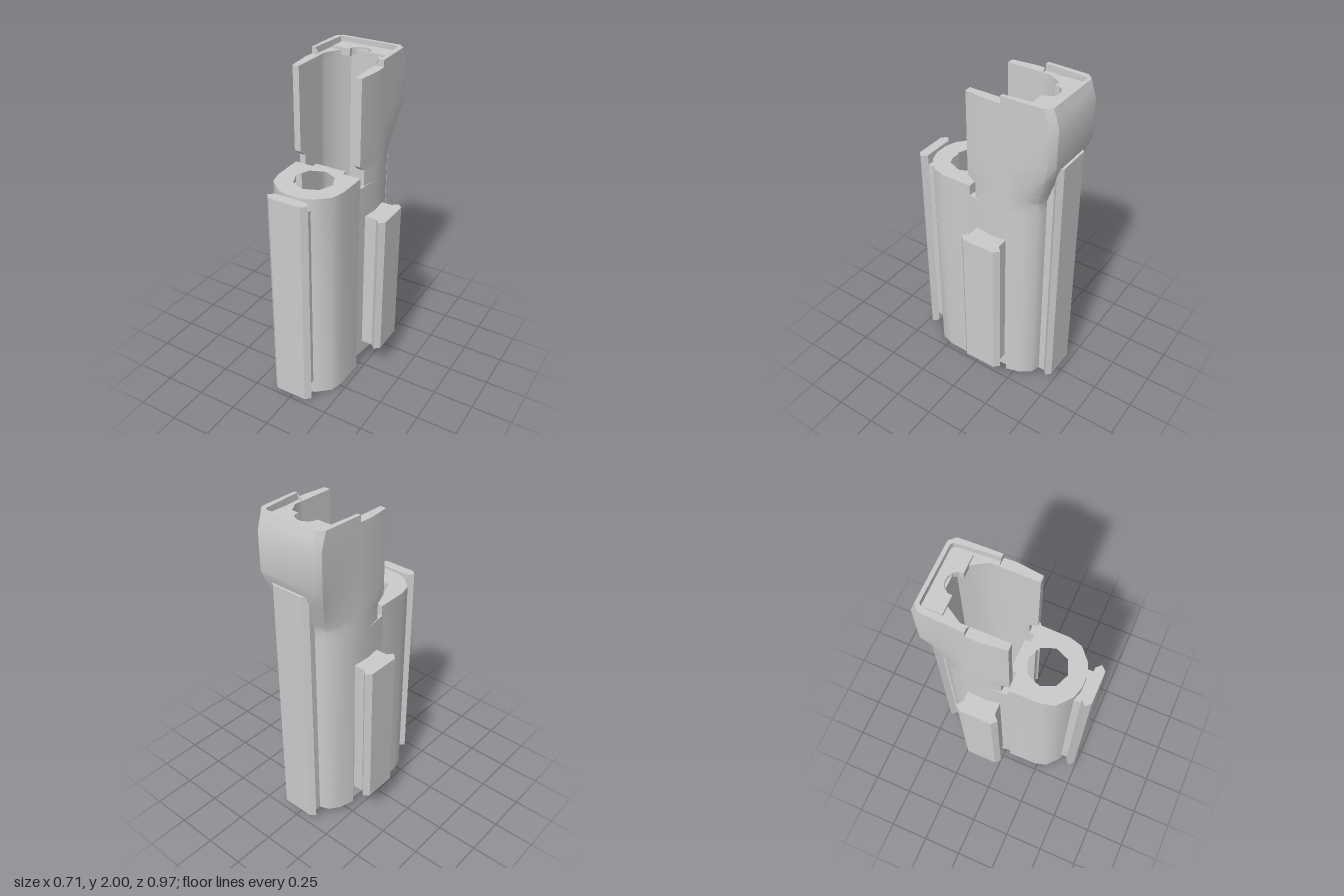
import * as THREE from 'three';
import { toCreasedNormals } from 'three/addons/utils/BufferGeometryUtils.js';

const material = new THREE.MeshStandardMaterial({ color: 0xcccccc });

function addMesh(parent, name, geometry, crease = 0.5) {
  const mesh = new THREE.Mesh(toCreasedNormals(geometry, crease), material);
  mesh.name = name;
  parent.add(mesh);
  return mesh;
}

// Upright prism from an outline given as [x, z] points
function prism(points, y0, y1, hole) {
  const toVec = ([x, z]) => new THREE.Vector2(x, -z);
  const shape = new THREE.Shape(points.map(toVec));
  if (hole) shape.holes.push(new THREE.Path(hole.map(toVec)));
  return new THREE.ExtrudeGeometry(shape, { depth: y1 - y0, bevelEnabled: false })
    .rotateX(-Math.PI / 2).translate(0, y0, 0);
}

const mirrored = (half) => [...half, ...half.map(([x, z]) => [-x, z]).reverse()];

// Dovetail rail pointing along +z: a neck and a six-sided head
function rail(name, neckFrom, neckTo, tip, head, neck) {
  const group = new THREE.Group();
  group.name = name;
  const mid = (neckTo + tip) / 2;
  addMesh(group, name + 'Neck', prism(mirrored([[0.1, neckFrom], [0.1, neckTo + 0.002]]), ...neck));
  addMesh(group, name + 'Head', prism(mirrored([[0.1, neckTo], [0.13, mid], [0.1, tip]]), ...head));
  return group;
}

// Hollow U-shaped body, lofted from the bottom up
function shellGeometry() {
  // Columns from front to back: lower outline, flared outline, inner wall, rim wall, bottom, top
  const columns = [
    [[0.215, 0], [0.215, 0], [0.175, 0], [0.175, 0], 0.09, 1.96],
    [[0.235, -0.1], [0.232, -0.1], [0.175, -0.1], [0.175, -0.1], 0.09, 1.96],
    [[0.232, -0.17], [0.228, -0.17], [0.175, -0.17], [0.175, -0.17], 0.09, 1.96],
    [[0.232, -0.17], [0.228, -0.17], [0.175, -0.17], [0.205, -0.17], 0.09, 2],
    [[0.228, -0.22], [0.227, -0.22], [0.175, -0.22], [0.202, -0.22], 0.09, 2],
    [[0.228, -0.22], [0.227, -0.22], [0.175, -0.22], [0.202, -0.22], 0.05, 2],
    [[0.2, -0.31], [0.222, -0.38], [0.12, -0.31], [0.19, -0.38], 0.05, 2],
    [[0.155, -0.37], [0.22, -0.45], [0.08, -0.36], [0.185, -0.42], 0.05, 2],
    [[0.1, -0.39], [0.185, -0.485], [0.06, -0.36], [0.17, -0.43], 0.05, 2],
  ];
  // Levels: height, flare, front edge z, rim, back inset
  const levels = [
    [0, 0, 0.045, 0, 0], [1.31, 0, 0.045, 0, 0], [1.31, 0, 0, 0, 0], [1.38, 0, 0, 0, 0],
    [1.41, 0.1, 0, 0, 0], [1.45, 0.24, 0.05, 0, 0], [1.56, 0.65, 0.05, 0, 0],
    [1.67, 1, 0.05, 0, 0], [1.9, 1, 0.05, 0, 0], [1.96, 1, 0.05, 0, 0.02],
    [1.96, 1, 0.05, 1, 0.02], [2, 1, 0.05, 1, 0.033],
  ];
  const loops = levels.map(([y, flare, front, rim, inset]) => {
    const outer = [], inner = [];
    columns.forEach(([low, high, wall, wide, bottom, top], k) => {
      const h = Math.min(Math.max(y, bottom), top);
      const x = THREE.MathUtils.lerp(low[0], high[0], flare);
      let z = k ? THREE.MathUtils.lerp(low[1], high[1], flare) : front;
      if (k > 6) z += inset;
      const [ix, iz] = rim ? wide : wall;
      outer.push(new THREE.Vector3(x, h, z));
      inner.push(new THREE.Vector3(ix, h, k ? iz : front));
    });
    const both = (list) => [...list, ...list.map((p) => new THREE.Vector3(-p.x, p.y, p.z)).reverse()];
    return [...both(outer), ...both(inner).reverse()];
  });

  const positions = [];
  const triangle = (a, b, c) => {
    if (new THREE.Triangle(a, b, c).getArea() < 1e-8) return;
    for (const p of [a, b, c]) positions.push(p.x, p.y, p.z);
  };
  const quad = (a, b, c, d) => { triangle(a, b, c); triangle(a, c, d); };
  const n = loops[0].length;
  for (let i = 0; i < loops.length - 1; i++) {
    const lo = loops[i], hi = loops[i + 1];
    for (let j = 0; j < n; j++) {
      const k = (j + 1) % n;
      quad(lo[j], lo[k], hi[k], hi[j]);
    }
  }
  // Close the wall thickness at top and bottom
  const top = loops[loops.length - 1], base = loops[0];
  for (let j = 0; j < n / 2 - 1; j++) {
    quad(top[j], top[j + 1], top[n - 2 - j], top[n - 1 - j]);
    quad(base[n - 1 - j], base[n - 2 - j], base[j + 1], base[j]);
  }
  const geometry = new THREE.BufferGeometry();
  geometry.setAttribute('position', new THREE.Float32BufferAttribute(positions, 3));
  return geometry;
}

export function createModel() {
  const model = new THREE.Group();
  model.name = 'railedHousing';

  addMesh(model, 'bodyShell', shellGeometry(), 0.6);

  // Front block with an octagonal bore
  const bore = Array.from({ length: 8 }, (_, i) => {
    const a = (i * Math.PI) / 4;
    return [0.12 * Math.cos(a), 0.185 + 0.12 * Math.sin(a)];
  });
  const blockOutline = mirrored([[0.215, 0.04], [0.212, 0.23], [0.19, 0.31], [0.11, 0.38], [0.04, 0.402]]);
  addMesh(model, 'frontBlock', prism(blockOutline, 0, 1.375, bore), 0.65);

  // Lip behind the block
  addMesh(model, 'blockLip', prism(mirrored([[0.1, 0.005], [0.1, 0.045]]), 1.362, 1.375));

  // Notched plate closing the top at the back
  const plate = mirrored([
    [0.175, -0.415], [0.175, -0.31], [0.063, -0.31], [0.063, -0.335], [0.045, -0.36], [0.015, -0.375],
  ]);
  addMesh(model, 'topPlate', prism(plate, 1.93, 1.975));

  // Rails on all four sides
  model.add(rail('frontRail', 0.35, 0.425, 0.485, [0.02, 1.375], [0.09, 1.31]));
  const backRail = rail('backRail', 0.37, 0.43, 0.485, [0.05, 1.62], [0.05, 1.62]);
  backRail.rotation.y = Math.PI;
  model.add(backRail);
  for (const side of [1, -1]) {
    const sideRail = rail(side > 0 ? 'leftRail' : 'rightRail', 0.2, 0.295, 0.357, [0.18, 1.11], [0.18, 1.11]);
    sideRail.rotation.y = (side * Math.PI) / 2;
    sideRail.position.z = -0.11;
    model.add(sideRail);
  }
  return model;
}
